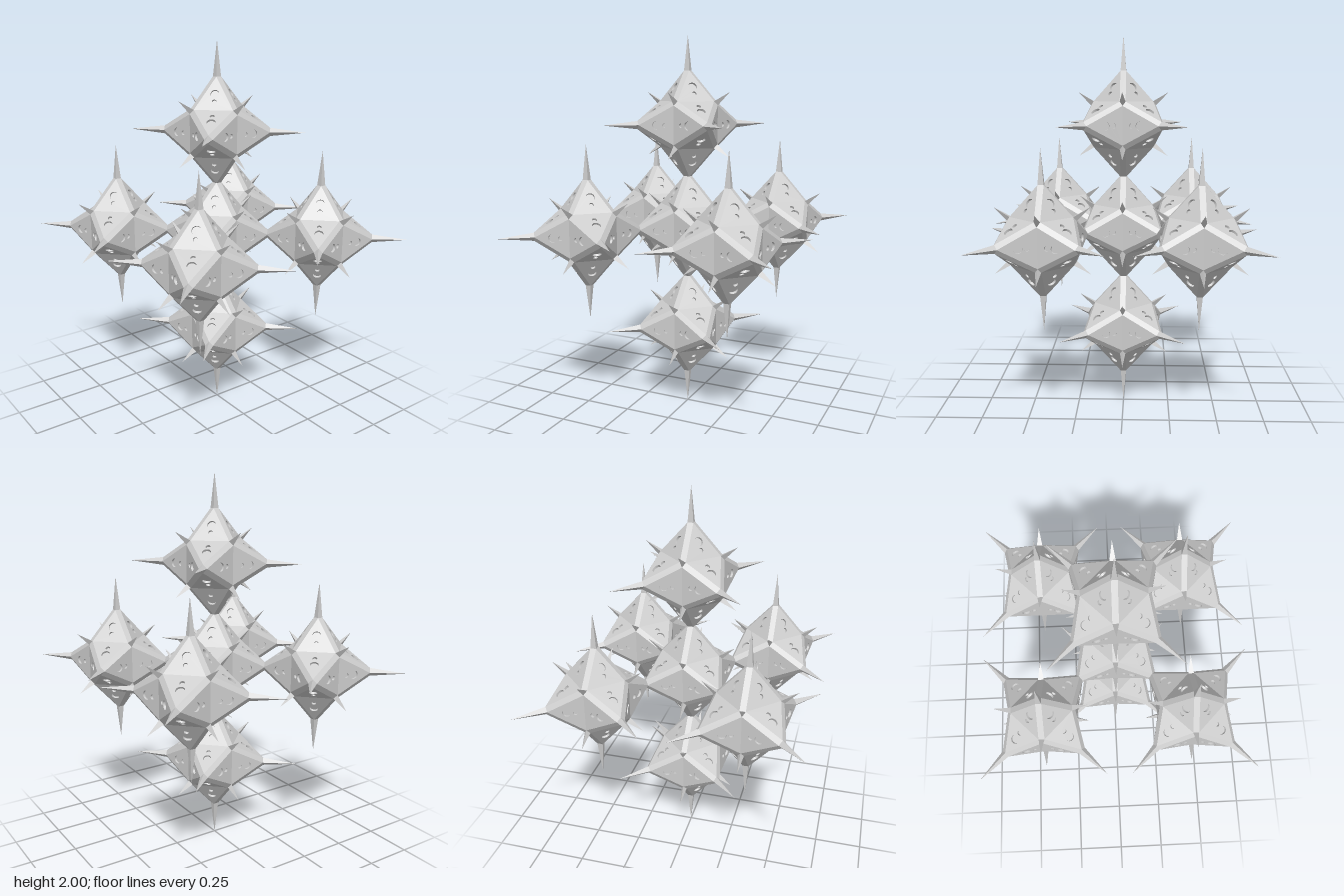
import * as THREE from 'three';
import { mergeGeometries } from 'three/addons/utils/BufferGeometryUtils.js';

const R = 0.275;       // where a long spike leaves the body
const LONG = 0.455;    // tip of a long spike
const A = 0.12;        // half side of the cube under the six pyramids
const TIP = 0.167;     // each coordinate of a short spike's tip
const S = 0.021;       // rib half width at the long spike
const T = 0.021;       // rib cut-back at the short spike
const SPACING = 0.545; // distance from the middle body to the others
const DEPTH = 0.012;   // depth of the round recesses
const RECESSES = [[0.046, 0.012], [0.089, 0.022]]; // height on panel, radius

const v = (x, y, z) => new THREE.Vector3(x, y, z);

// The 24 rotations of a cube: four spins about y, then y turned to each axis
function cubeRotations() {
  const q = Math.PI / 2;
  const turns = [[0, 0], [q, 0], [2 * q, 0], [3 * q, 0], [0, q], [0, -q]];
  const list = [];
  for (const [rx, rz] of turns) {
    for (let k = 0; k < 4; k++) {
      list.push(new THREE.Matrix4().makeRotationFromEuler(new THREE.Euler(rx, 0, rz))
        .multiply(new THREE.Matrix4().makeRotationY(k * q)));
    }
  }
  return list;
}

// Flat convex polygon, corners counter-clockwise from outside
function polygon(...points) {
  const corners = [];
  for (let i = 1; i < points.length - 1; i++) corners.push(points[0], points[i], points[i + 1]);
  const g = new THREE.BufferGeometry().setFromPoints(corners);
  g.computeVertexNormals();
  return g;
}

// Triangular body panel with two round recesses
function panelGeometry() {
  const foot = v(A, A, 0);
  const up = v(S, R, 0).sub(foot);
  const height = up.length();
  up.normalize();
  const across = v(0, 0, -1);
  const normal = across.clone().cross(up);

  const shape = new THREE.Shape();
  shape.moveTo(-(A - T), 0);
  shape.lineTo(A - T, 0);
  shape.lineTo(0, height);
  shape.closePath();
  const floors = [];
  for (const [y, radius] of RECESSES) {
    shape.holes.push(new THREE.Path().absarc(0, y, radius, 0, Math.PI * 2, true));
    floors.push(new THREE.CircleGeometry(radius * 1.05, 16).translate(0, y, -DEPTH + 0.0005));
  }
  const plate = new THREE.ExtrudeGeometry(shape, { depth: DEPTH, bevelEnabled: false, curveSegments: 16 });
  plate.translate(0, 0, -DEPTH);

  const parts = [plate, ...floors].map((g) => {
    const flat = g.index ? g.toNonIndexed() : g;
    flat.deleteAttribute('uv');
    flat.clearGroups();
    return flat;
  });
  return mergeGeometries(parts)
    .applyMatrix4(new THREE.Matrix4().makeBasis(across, up, normal).setPosition(foot));
}

export function createModel() {
  const material = new THREE.MeshStandardMaterial({ color: 0xcccccc, flatShading: true });

  // One of the 24 identical sectors of a body
  const a = v(S, R, 0), b = v(0, R, S);
  const c = v(A - T, A, A), d = v(A, A, A - T);
  const sector = {
    recessedPanels: panelGeometry(),
    ribs: polygon(a, b, c, d),
    longSpikes: polygon(b, a, v(0, LONG, 0)),
    shortSpikes: polygon(d, c, v(TIP, TIP, TIP)),
  };

  const rotations = cubeRotations();
  const whole = {};
  for (const [name, g] of Object.entries(sector)) {
    whole[name] = mergeGeometries(rotations.map((m) => g.clone().applyMatrix4(m)));
  }

  function spikedBody(name, position) {
    const body = new THREE.Group();
    body.name = name;
    for (const [part, g] of Object.entries(whole)) {
      const mesh = new THREE.Mesh(g, material);
      mesh.name = part;
      body.add(mesh);
    }
    body.position.copy(position);
    return body;
  }

  // Seven bodies: one in the middle and one along each axis
  const cluster = new THREE.Group();
  cluster.name = 'spikedCluster';
  cluster.add(
    spikedBody('middleBody', v(0, 0, 0)),
    spikedBody('topBody', v(0, SPACING, 0)),
    spikedBody('bottomBody', v(0, -SPACING, 0)),
    spikedBody('frontLeftBody', v(0, 0, SPACING)),
    spikedBody('backRightBody', v(0, 0, -SPACING)),
    spikedBody('backLeftBody', v(SPACING, 0, 0)),
    spikedBody('frontRightBody', v(-SPACING, 0, 0)),
  );
  cluster.rotation.y = Math.PI / 4;
  cluster.position.y = 1;

  const model = new THREE.Group();
  model.name = 'model';
  model.add(cluster);
  return model;
}
